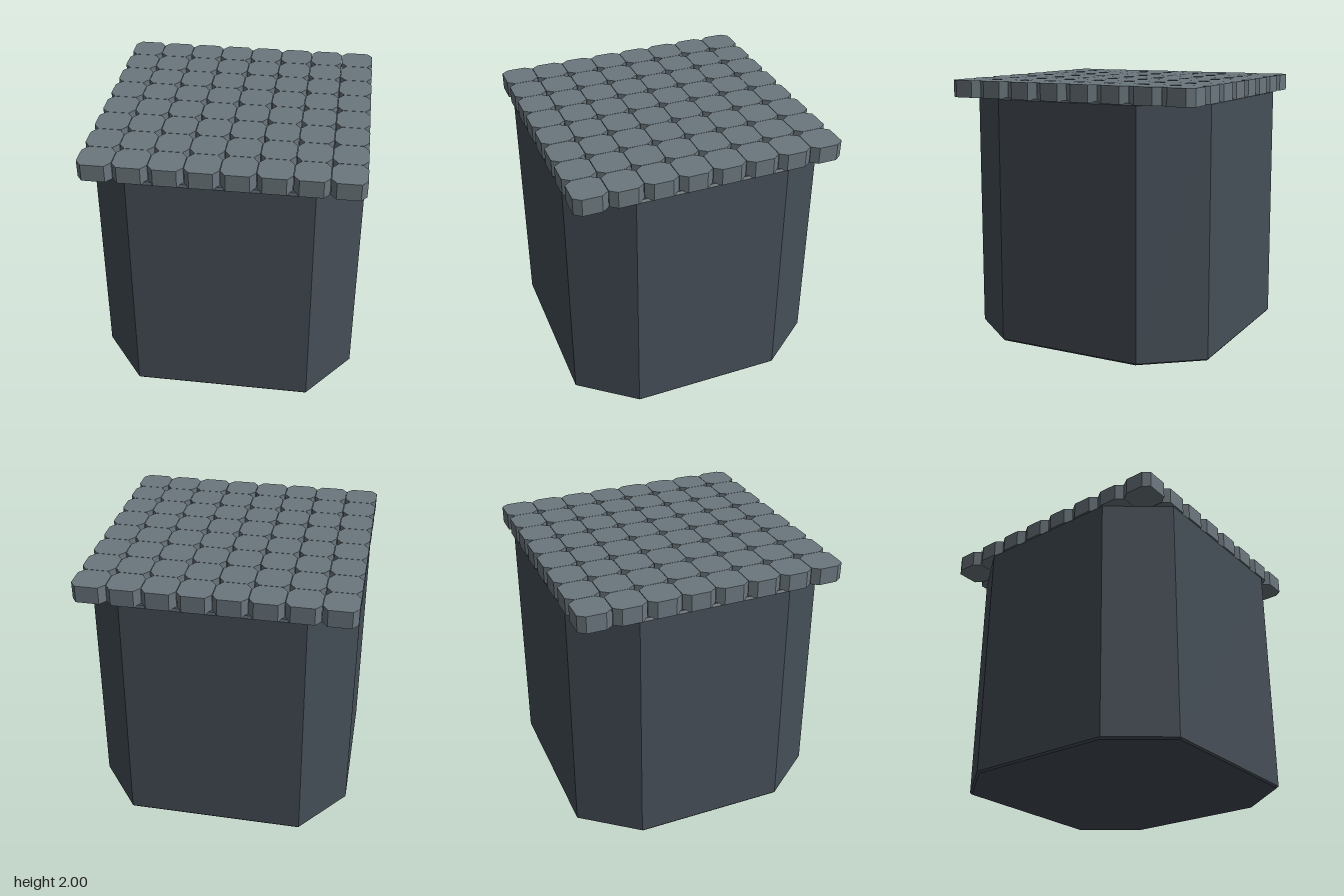
import * as THREE from 'three';

// Octagonal outline, counter-clockwise seen from above: half sizes and corner cuts
function octagon(hx, hz, cx, cz) {
  const x = hx - cx, z = hz - cz;
  return [[hx, z], [hx, -z], [x, -hz], [-x, -hz], [-hx, -z], [-hx, z], [-x, hz], [x, hz]];
}

// Flat-faced closed solid through stacked outlines; each ring is { y, pts }
function loft(rings) {
  const pos = [];
  const tri = (...corners) => corners.forEach((c) => pos.push(...c));
  const at = (ring, i) => {
    const [x, z] = ring.pts[i % ring.pts.length];
    return [x, ring.y, z];
  };
  const n = rings[0].pts.length;
  for (let r = 0; r < rings.length - 1; r++) {
    const lo = rings[r], hi = rings[r + 1];
    for (let i = 0; i < n; i++) {
      tri(at(lo, i), at(lo, i + 1), at(hi, i + 1));
      tri(at(lo, i), at(hi, i + 1), at(hi, i));
    }
  }
  const bottom = rings[0], top = rings[rings.length - 1];
  for (let i = 1; i < n - 1; i++) {
    tri(at(bottom, 0), at(bottom, i + 1), at(bottom, i));
    tri(at(top, 0), at(top, i), at(top, i + 1));
  }
  const g = new THREE.BufferGeometry();
  g.setAttribute('position', new THREE.Float32BufferAttribute(pos, 3));
  g.computeVertexNormals();
  return g;
}

export function createModel() {
  const model = new THREE.Group();
  model.name = 'pavedBlock';

  const darkStone = new THREE.MeshStandardMaterial({ color: 0x454e57 });
  darkStone.name = 'dark slate';
  const paleStone = new THREE.MeshStandardMaterial({ color: 0x6b777e });
  paleStone.name = 'pale slate';

  // Block: slightly tapered, with narrow bevels at both ends
  const levels = [[0, 0.988], [0.014, 0.999], [1.868, 0.99], [1.882, 0.975]];
  const block = new THREE.Mesh(
    loft(levels.map(([y, s]) => ({ y, pts: octagon(s, s, 0.33, 0.42) }))),
    darkStone
  );
  block.name = 'block';
  model.add(block);

  // Paving: 8 x 8 tiles with cut corners
  const paving = new THREE.Group();
  paving.name = 'paving';
  const half = 0.1235, pitch = (2 - 2 * half) / 7;
  const outline = octagon(half, half, 0.04, 0.053);
  const tileGeometry = loft([{ y: 1.872, pts: outline }, { y: 2, pts: outline }]);
  for (let row = 0; row < 8; row++) {
    for (let col = 0; col < 8; col++) {
      const tile = new THREE.Mesh(tileGeometry, paleStone);
      tile.name = 'tile';
      tile.position.set((col - 3.5) * pitch, 0, (row - 3.5) * pitch);
      paving.add(tile);
    }
  }
  model.add(paving);

  return model;
}
